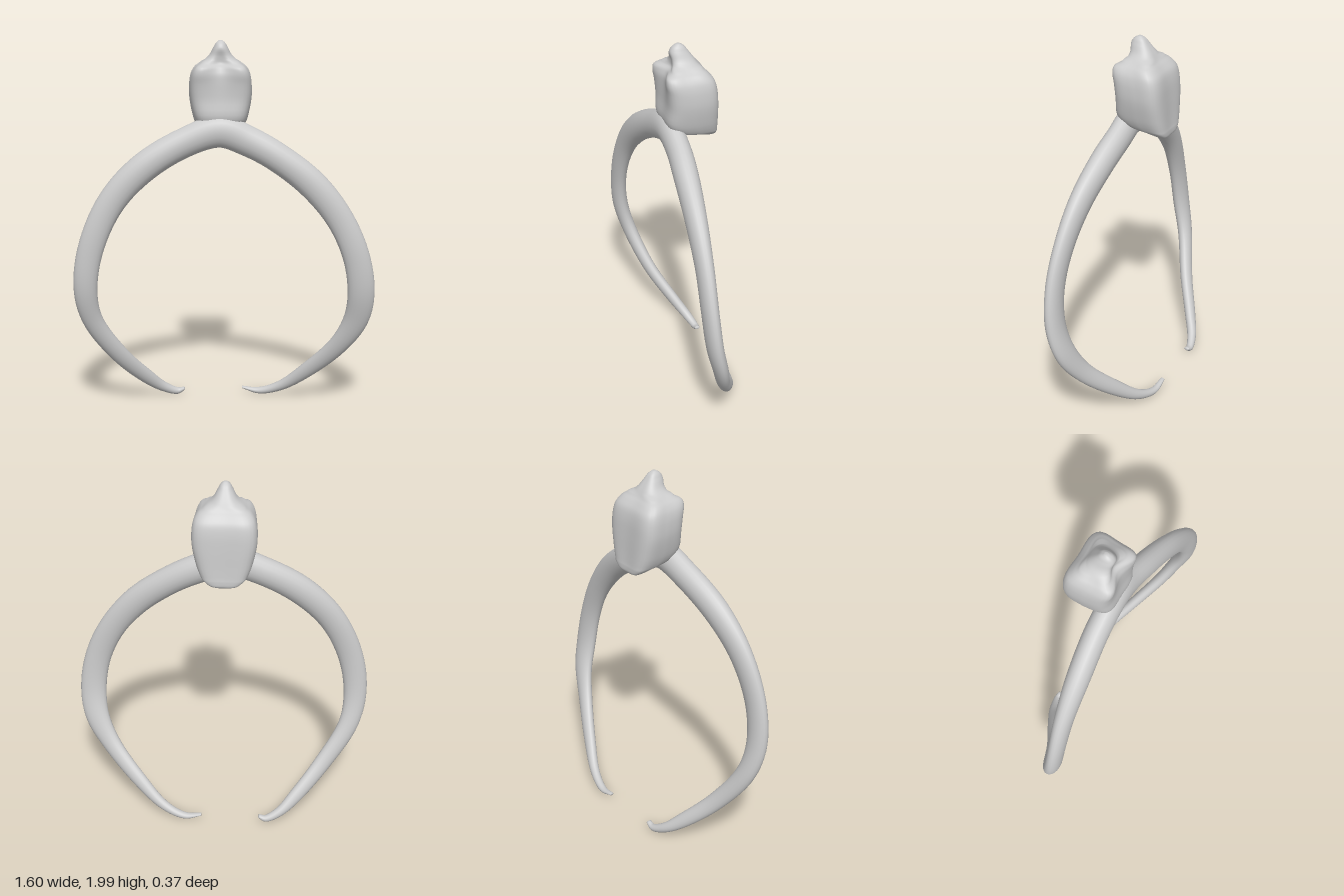
import * as THREE from 'three';

const material = new THREE.MeshStandardMaterial({ color: 0xcccccc, roughness: 0.7 });

// Smooth skin over rings of points; each end is closed by a centre point.
function loft(rings, name) {
  const n = rings[0].length;
  const pos = rings.flat().flatMap((p) => [p.x, p.y, p.z]);
  const index = [];
  for (let i = 0; i < rings.length - 1; i++) {
    for (let j = 0; j < n; j++) {
      const a = i * n + j, b = i * n + ((j + 1) % n);
      index.push(a, b, a + n, b, b + n, a + n);
    }
  }
  [0, rings.length - 1].forEach((r, end) => {
    const c = rings[r].reduce((s, p) => s.add(p), new THREE.Vector3()).divideScalar(n);
    const k = pos.length / 3;
    pos.push(c.x, c.y, c.z);
    for (let j = 0; j < n; j++) {
      const a = r * n + j, b = r * n + ((j + 1) % n);
      index.push(...(end ? [a, b, k] : [b, a, k]));
    }
  });
  const g = new THREE.BufferGeometry();
  g.setAttribute('position', new THREE.Float32BufferAttribute(pos, 3));
  g.setIndex(index);
  g.computeVertexNormals();
  const mesh = new THREE.Mesh(g, material);
  mesh.name = name;
  return mesh;
}

// Both curved arms in one sweep: x, y, z, radius in the plane of the arch, radius across it
function makeArms() {
  const stations = [
    [-0.22, 0.04, -0.163, 0.008, 0.014], [-0.26, 0.025, -0.165, 0.019, 0.02],
    [-0.34, 0.06, -0.14, 0.028, 0.026], [-0.43, 0.14, -0.085, 0.04, 0.03],
    [-0.57, 0.3, 0.01, 0.048, 0.034], [-0.705, 0.52, 0.088, 0.055, 0.039],
    [-0.735, 0.7, 0.13, 0.063, 0.042], [-0.7, 0.93, 0.142, 0.068, 0.041],
    [-0.59, 1.17, 0.13, 0.073, 0.048], [-0.42, 1.35, 0.112, 0.078, 0.06],
    [-0.2, 1.48, 0.09, 0.078, 0.063], [-0.02, 1.535, 0.085, 0.085, 0.062],
    [0.12, 1.485, 0.085, 0.08, 0.062], [0.27, 1.405, 0.1, 0.077, 0.062],
    [0.46, 1.26, 0.122, 0.077, 0.053], [0.605, 1.08, 0.136, 0.072, 0.044],
    [0.695, 0.88, 0.142, 0.071, 0.041], [0.728, 0.68, 0.127, 0.072, 0.041],
    [0.71, 0.52, 0.088, 0.068, 0.039], [0.625, 0.36, 0.035, 0.053, 0.035],
    [0.46, 0.18, -0.06, 0.042, 0.031], [0.32, 0.065, -0.13, 0.028, 0.026],
    [0.2, 0.024, -0.165, 0.018, 0.021], [0.105, 0.042, -0.172, 0.006, 0.012],
  ];
  const path = new THREE.CatmullRomCurve3(stations.map((s) => new THREE.Vector3(s[0], s[1], s[2])));
  const radii = new THREE.CatmullRomCurve3(
    stations.map((s) => new THREE.Vector3(s[3], s[4], 0)), false, 'catmullrom');
  const forward = new THREE.Vector3(0, 0, 1);
  const rings = [];
  const steps = 140, sides = 20;
  for (let i = 0; i <= steps; i++) {
    const t = i / steps;
    const c = path.getPoint(t), r = radii.getPoint(t), tan = path.getTangent(t);
    const inPlane = new THREE.Vector3().crossVectors(forward, tan).normalize();
    const across = new THREE.Vector3().crossVectors(tan, inPlane);
    rings.push(Array.from({ length: sides }, (_, j) => {
      const a = (j / sides) * Math.PI * 2;
      return c.clone().addScaledVector(inPlane, r.x * Math.cos(a)).addScaledVector(across, r.y * Math.sin(a));
    }));
  }
  return loft(rings, 'archedArms');
}

// Boxy head, stacked in layers: y, front z, back z, half width, pinch between the corners
function makeHead() {
  const layers = [
    [1.488, -0.115, -0.135, 0.025, 0], [1.5, -0.08, -0.148, 0.07, 0],
    [1.525, -0.02, -0.152, 0.105, 0], [1.55, 0.08, -0.152, 0.125, 0],
    [1.6, 0.125, -0.15, 0.145, 0.02], [1.7, 0.125, -0.145, 0.166, 0.05],
    [1.78, 0.135, -0.138, 0.168, 0.1], [1.83, 0.148, -0.125, 0.16, 0.17],
    [1.862, 0.145, -0.1, 0.142, 0.24], [1.885, 0.105, -0.075, 0.112, 0.22],
    [1.92, 0.082, -0.05, 0.065, 0.1], [1.96, 0.078, -0.02, 0.04, 0],
    [1.985, 0.065, 0, 0.026, 0], [2.0, 0.042, 0.022, 0.01, 0],
  ];
  const low = new THREE.CatmullRomCurve3(layers.map((l) => new THREE.Vector3(l[0], l[1], l[2])));
  const wide = new THREE.CatmullRomCurve3(
    layers.map((l) => new THREE.Vector3(l[3], l[4], 0)), false, 'catmullrom');
  const rings = [];
  const steps = 52, sides = 56;
  for (let i = 0; i <= steps; i++) {
    const a = low.getPoint(i / steps), b = wide.getPoint(i / steps);
    const y = Math.min(a.x, 2), midZ = (a.y + a.z) / 2, depth = (a.y - a.z) / 2;
    const square = y < 1.9 ? 4.5 : 2.4;
    rings.push(Array.from({ length: sides }, (_, j) => {
      const ang = (j / sides) * Math.PI * 2;
      const c = Math.cos(ang), s = Math.sin(ang);
      const k = (Math.abs(c) ** square + Math.abs(s) ** square) ** (-1 / square);
      // Front face sinks most, back and flanks only slightly
      const frontDent = 1 - b.y * 1.8 * Math.max(s, 0) ** 6;
      const backDent = 1 - (0.05 + b.y * 0.1) * Math.max(-s, 0) ** 8;
      const sideDent = 1 - b.y * 0.35 * Math.abs(c) ** 8;
      // Front is narrower than the back
      const taper = 1 - 0.1 * Math.max(s * k, 0);
      return new THREE.Vector3(
        -0.018 + b.x * c * k * sideDent * taper, y, midZ + depth * s * k * frontDent * backDent);
    }).reverse());
  }
  return loft(rings, 'head');
}

export function createModel() {
  const model = new THREE.Group();
  model.name = 'archedClasp';
  model.add(makeArms(), makeHead());
  return model;
}
